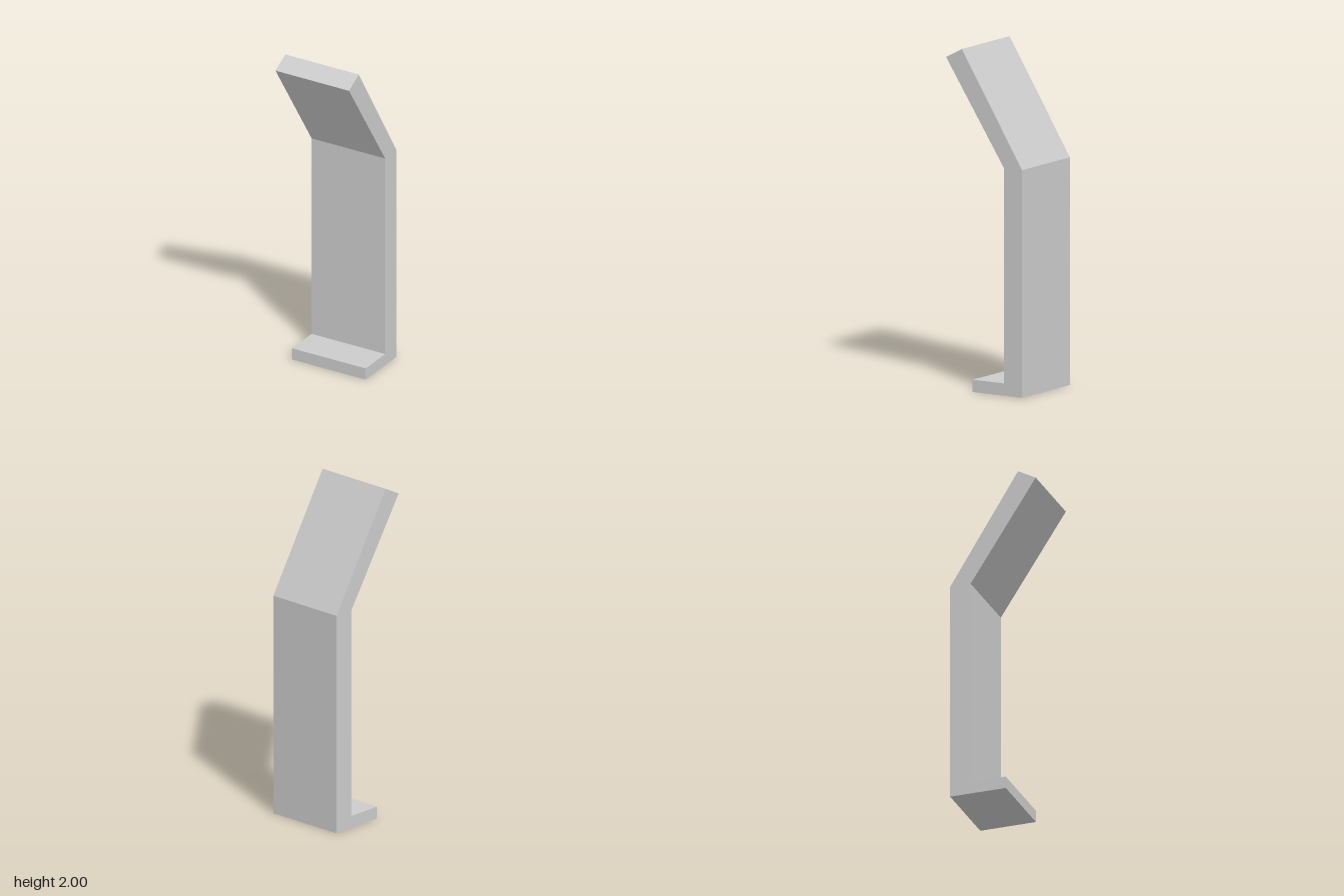
import * as THREE from 'three';

const WIDTH = 0.496;

export function createModel() {
  const group = new THREE.Group();
  group.name = 'kioskStand';

  // Side profile as (z, y): foot, upright post and forward-leaning head
  const profile = new THREE.Shape([
    [-0.263, 0], [0.079, 0], [0.079, 0.072], [-0.137, 0.072],
    [-0.137, 1.333], [0.263, 1.942], [0.154, 2], [-0.263, 1.333],
  ].map(([z, y]) => new THREE.Vector2(z, y)));

  // Extrude across the width, then turn so the profile lies in the z-y plane
  const geometry = new THREE.ExtrudeGeometry(profile, { depth: WIDTH, bevelEnabled: false });
  geometry.translate(0, 0, -WIDTH / 2).rotateY(-Math.PI / 2);

  const body = new THREE.Mesh(
    geometry,
    new THREE.MeshStandardMaterial({ color: 0xcccccc, flatShading: true }),
  );
  body.name = 'bentPanelBody';
  group.add(body);
  return group;
}
